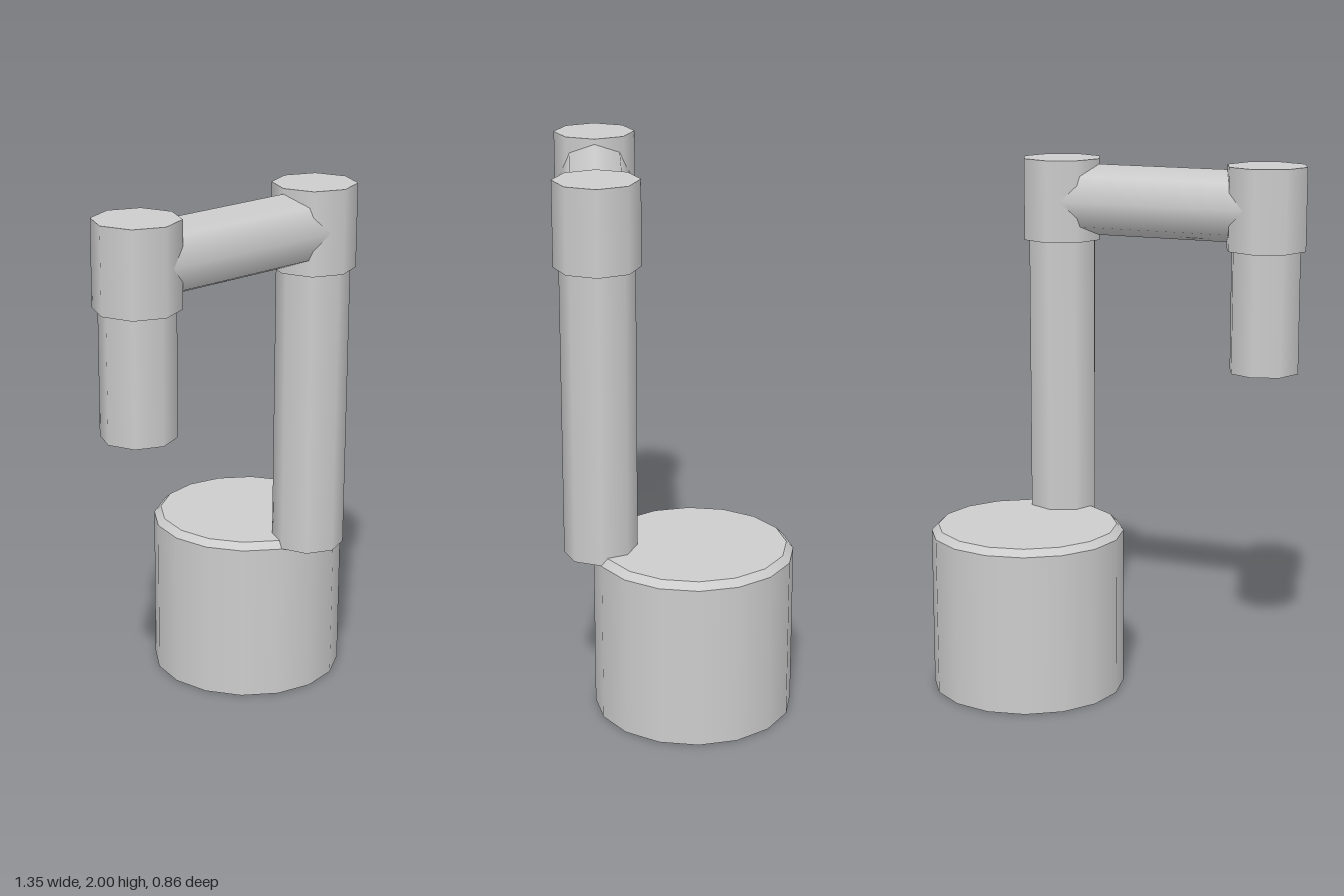
import * as THREE from 'three';

export function createModel() {
  const group = new THREE.Group();
  const metal = new THREE.MeshStandardMaterial({ color: 0xcccccc });
  metal.name = 'light grey metal';

  const add = (name, geometry, x, y, z) => {
    const mesh = new THREE.Mesh(geometry, metal);
    mesh.name = name;
    mesh.position.set(x, y, z);
    group.add(mesh);
    return mesh;
  };
  // Upright cylinder spanning y0 to y1
  const upright = (name, r, y0, y1, x, z, sides) =>
    add(name, new THREE.CylinderGeometry(r, r, y1 - y0, sides), x, (y0 + y1) / 2, z);

  const baseX = 0.305, baseZ = -0.066, pipeZ = 0.275, tipX = -0.52;
  const pipeR = 0.135, jointR = 0.155, armY = 1.845;

  // Round base with a bevelled rim
  upright('base', 0.368, 0, 0.61, baseX, baseZ, 16);
  add('baseBevel', new THREE.CylinderGeometry(0.342, 0.368, 0.025, 16), baseX, 0.6225, baseZ);

  // Column and hanging nozzle, each topped by a joint
  upright('column', pipeR, 0.61, armY, baseX, pipeZ, 8);
  upright('nozzle', pipeR, 1.23, armY, tipX, pipeZ, 8);
  upright('columnJoint', jointR, 1.69, 2, baseX, pipeZ, 8);
  upright('nozzleJoint', jointR, 1.69, 2, tipX, pipeZ, 8);

  // Horizontal arm between the joints
  const arm = add('arm', new THREE.CylinderGeometry(pipeR, pipeR, baseX - tipX, 8),
    (baseX + tipX) / 2, armY, pipeZ);
  arm.rotation.z = Math.PI / 2;

  return group;
}
